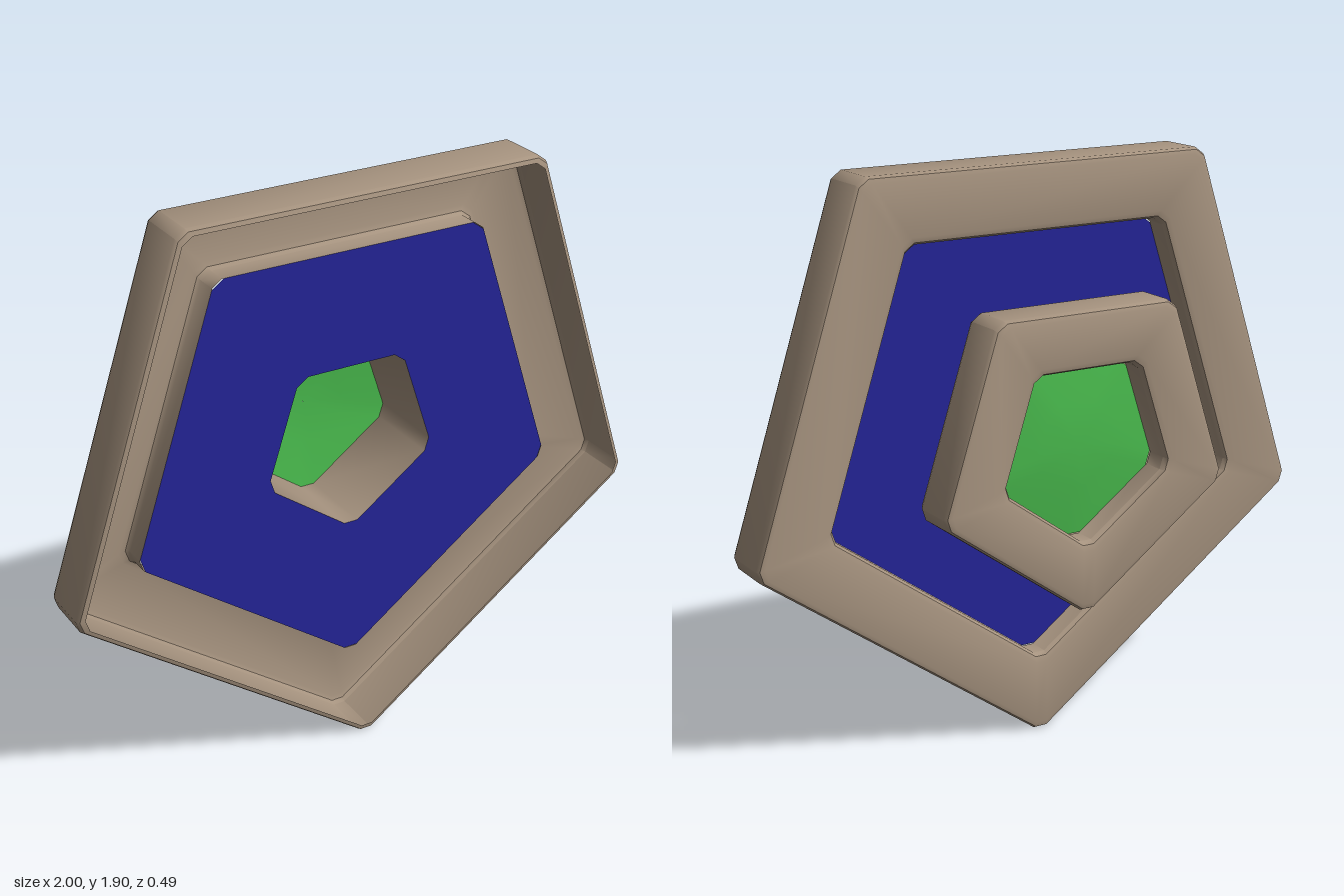
import * as THREE from 'three';
import { toCreasedNormals } from 'three/addons/utils/BufferGeometryUtils.js';

const CENTRE_Y = 1.05;

// Pentagon pointing down, with slightly cut corners
function pentagon(r, cut) {
  const corners = [];
  for (let i = 0; i < 5; i++) {
    const a = -Math.PI / 2 + (i * Math.PI * 2) / 5;
    corners.push(new THREE.Vector2(Math.cos(a) * r, Math.sin(a) * r));
  }
  const t = Math.min(cut / (1.1756 * r), 0.4);
  const points = [];
  corners.forEach((p, i) => {
    points.push(p.clone().lerp(corners[(i + 4) % 5], t), p.clone().lerp(corners[(i + 1) % 5], t));
  });
  return points;
}

// Joins pentagon rings along a profile of [radius, z] pairs
function loft(profile, cut, crease = 0.65) {
  const positions = [], index = [];
  profile.forEach(([r, z]) => {
    pentagon(r, cut).forEach((p) => positions.push(p.x, p.y, z));
  });
  for (let j = 0; j < profile.length - 1; j++) {
    for (let i = 0; i < 10; i++) {
      const a = j * 10 + i, b = j * 10 + ((i + 1) % 10);
      index.push(a, a + 10, b, b, a + 10, b + 10);
    }
  }
  const g = new THREE.BufferGeometry();
  g.setAttribute('position', new THREE.Float32BufferAttribute(positions, 3));
  g.setIndex(index);
  return toCreasedNormals(g, crease);
}

export function createModel() {
  const group = new THREE.Group();
  const material = (name, color) =>
    new THREE.MeshStandardMaterial({ name, color, side: THREE.DoubleSide });
  const tan = material('tan', 0xa6937f);
  const blue = material('blue', 0x242496);
  const green = material('green', 0x48b84c);

  const add = (name, geometry, mat) => {
    const mesh = new THREE.Mesh(geometry, mat);
    mesh.name = name;
    mesh.position.y = CENTRE_Y;
    group.add(mesh);
  };

  // Large hollow frame, open to the front, with rounded edges
  add('largeFrame', loft([
    [1.035, 0.24], [1.052, 0.235], [1.06, 0.22], [1.06, 0.06], [1.052, 0.045],
    [1.035, 0.04], [0.82, 0.04], [0.8, 0.046], [0.79, 0.06], [0.79, 0.13],
  ], 0.025), tan);

  // Panel with a pentagonal opening
  const panel = new THREE.Shape(pentagon(0.79, 0.03));
  panel.holes.push(new THREE.Path(pentagon(0.315, 0.03).reverse()));
  add('bluePanel', new THREE.ShapeGeometry(panel).translate(0, 0, 0.13), blue);

  // Neck joining the panel opening to the small frame
  add('neck', loft([[0.315, 0.13], [0.315, -0.15]], 0.03), tan);

  // Small frame behind
  add('smallFrame', loft([
    [0.315, -0.07], [0.52, -0.07], [0.537, -0.076], [0.545, -0.092], [0.545, -0.222],
    [0.537, -0.239], [0.52, -0.245], [0.345, -0.245], [0.325, -0.239], [0.315, -0.222],
    [0.315, -0.15],
  ], 0.025), tan);

  // Slightly domed pane closing the small frame
  add('greenPane', loft([[0.315, -0.15], [0.16, -0.168], [0.001, -0.178]], 0.03, 1.2), green);

  return group;
}
